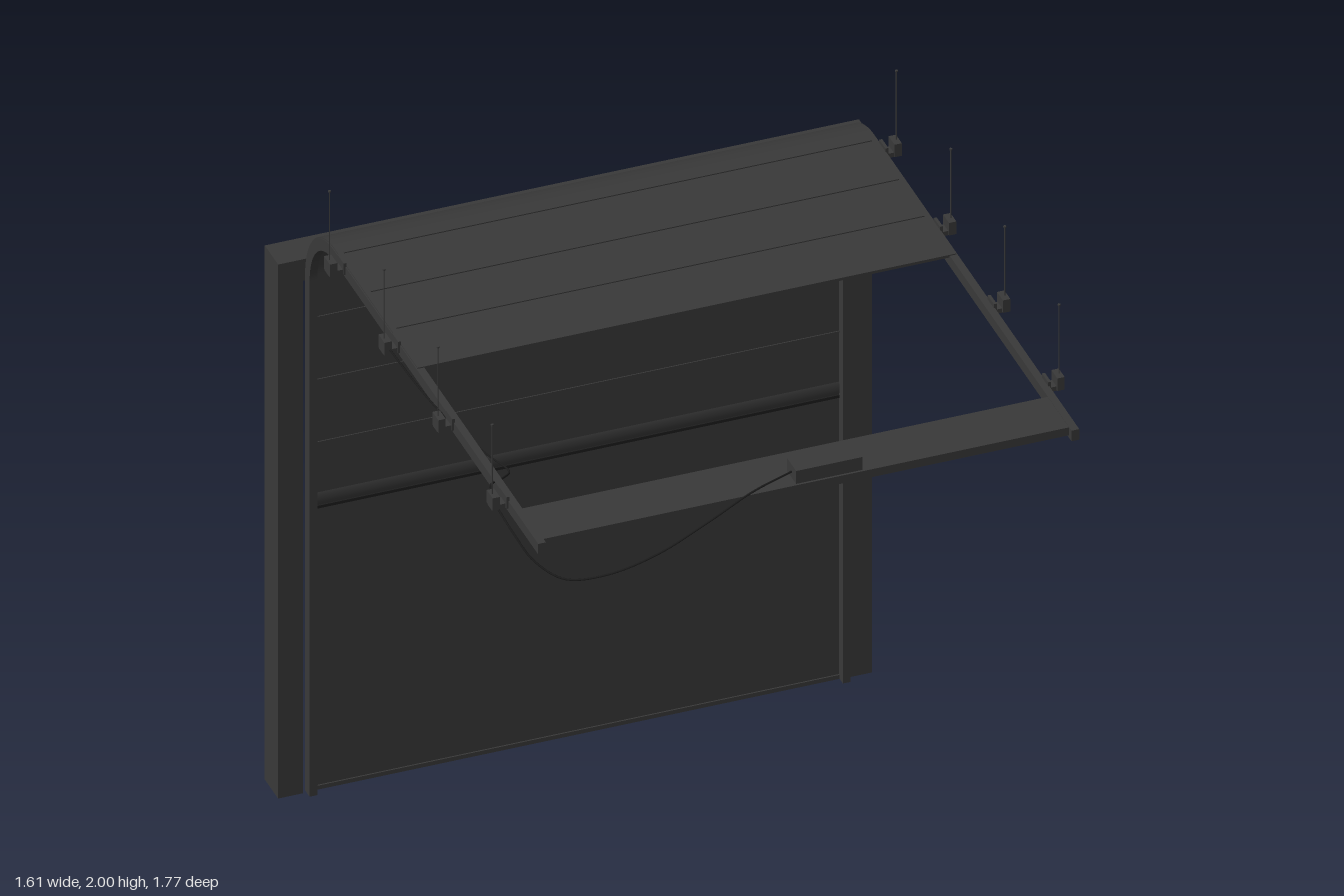
import * as THREE from 'three';
import { toCreasedNormals } from 'three/addons/utils/BufferGeometryUtils.js';

export function createModel() {
  const model = new THREE.Group();
  model.name = 'overheadDoor';
  const charcoal = new THREE.MeshStandardMaterial({ color: 0x393939 });
  charcoal.name = 'charcoal';
  const black = new THREE.MeshStandardMaterial({ color: 0x1c1c1c });
  black.name = 'black';

  function add(name, geometry, material = charcoal, parent = model) {
    const mesh = new THREE.Mesh(geometry, material);
    mesh.name = name;
    parent.add(mesh);
    return mesh;
  }
  // Box given by its limits on each axis
  function box(name, x0, x1, y0, y1, z0, z1, material, parent) {
    const g = new THREE.BoxGeometry(x1 - x0, y1 - y0, z1 - z0);
    g.translate((x0 + x1) / 2, (y0 + y1) / 2, (z0 + z1) / 2);
    return add(name, g, material, parent);
  }

  // Upright-to-ceiling strip bent round a quarter circle
  const cz = -0.585, cy = 1.573;
  function bentStrip(name, x0, x1, r0, r1, bottom, end) {
    const s = new THREE.Shape();
    s.moveTo(cz - r1, bottom);
    s.lineTo(cz - r1, cy);
    s.absarc(cz, cy, r1, Math.PI, Math.PI / 2, true);
    s.lineTo(end, cy + r1);
    s.lineTo(end, cy + r0);
    s.lineTo(cz, cy + r0);
    s.absarc(cz, cy, r0, Math.PI / 2, Math.PI, false);
    s.lineTo(cz - r0, bottom);
    s.closePath();
    const g = new THREE.ExtrudeGeometry(s, { depth: x1 - x0, bevelEnabled: false, curveSegments: 14 });
    g.rotateY(-Math.PI / 2);
    g.translate(x1, 0, 0);
    return add(name, toCreasedNormals(g, 0.5));
  }

  // Door curtain
  bentStrip('doorCurtain', -0.73, 0.73, 0.195, 0.203, 0.012, 0);
  box('bottomSeal', -0.715, 0.715, 0.01, 0.022, -0.79, -0.776);

  // Panel joints on the upright part and on the ceiling part
  for (const y of [1.06, 1.25, 1.44]) {
    box('panelJoint', -0.715, 0.715, y, y + 0.004, -0.791, -0.777);
  }
  for (const z of [-0.56, -0.37, -0.19]) {
    box('panelJoint', -0.715, 0.715, 1.765, 1.779, z, z + 0.004);
  }
  box('middleJoint', -0.715, 0.715, 0.862, 0.87, -0.781, -0.777, black);
  const ridge = new THREE.CylinderGeometry(0.013, 0.013, 1.44, 16);
  ridge.rotateZ(Math.PI / 2);
  ridge.scale(1, 2, 0.7);
  ridge.translate(0, 0.89, -0.786);
  add('middleRidge', ridge);

  // Door frame
  for (const s of [-1, 1]) {
    const x = s * 0.771;
    box(s > 0 ? 'leftPost' : 'rightPost', x - 0.034, x + 0.034, 0, 1.62, -0.882, -0.788);
  }
  box('lintel', -0.737, 0.737, 1.555, 1.62, -0.882, -0.788);

  // Tracks with hangers
  for (const s of [-1, 1]) {
    const side = s > 0 ? 'left' : 'right';
    const inner = s * 0.712, outer = s * 0.733;
    bentStrip(side + 'Track', Math.min(inner, outer), Math.max(inner, outer), 0.168, 0.2, 0.01, 0.858);

    for (const z of [0.625, 0.242, -0.138, -0.522]) {
      const hanger = new THREE.Group();
      hanger.name = side + 'Hanger';
      model.add(hanger);
      const span = (name, a, b, y0, y1, w) =>
        box(name, Math.min(s * a, s * b), Math.max(s * a, s * b), y0, y1, z - w, z + w, charcoal, hanger);
      span('bracketArm', 0.73, 0.775, 1.75, 1.763, 0.016);
      span('bracketPlate', 0.73, 0.738, 1.75, 1.785, 0.022);
      span('bracketClip', 0.755, 0.775, 1.752, 1.79, 0.021);
      const rod = new THREE.CylinderGeometry(0.0017, 0.0017, 0.24, 8);
      rod.translate(s * 0.768, 1.88, z);
      add('hangerRod', rod, charcoal, hanger);
      const nut = new THREE.CylinderGeometry(0.004, 0.004, 0.004, 6);
      nut.translate(s * 0.768, 1.998, z);
      add('rodNut', nut, charcoal, hanger);
    }
  }

  // Cross beam and drive unit
  box('crossBeam', -0.712, 0.712, 1.748, 1.772, 0.69, 0.84);
  box('driveUnit', -0.025, 0.155, 1.77, 1.811, 0.77, 0.834);

  // Cables
  function cable(name, points) {
    const curve = new THREE.CatmullRomCurve3(points.map(p => new THREE.Vector3(...p)));
    add(name, new THREE.TubeGeometry(curve, 80, 0.0028, 6), black);
  }
  cable('driveCable', [
    [-0.02, 1.79, 0.8], [-0.15, 1.785, 0.848], [-0.28, 1.74, 0.874], [-0.42, 1.68, 0.88],
    [-0.55, 1.638, 0.862], [-0.65, 1.627, 0.825], [-0.71, 1.66, 0.765], [-0.74, 1.71, 0.705],
    [-0.76, 1.755, 0.63]]);
  cable('trackCable', [
    [-0.76, 1.765, 0.63], [-0.75, 1.773, 0.565], [-0.7, 1.76, 0.525], [-0.66, 1.733, 0.46],
    [-0.68, 1.727, 0.37], [-0.72, 1.745, 0.26], [-0.748, 1.76, 0.1], [-0.76, 1.765, -0.13]]);

  return model;
}
